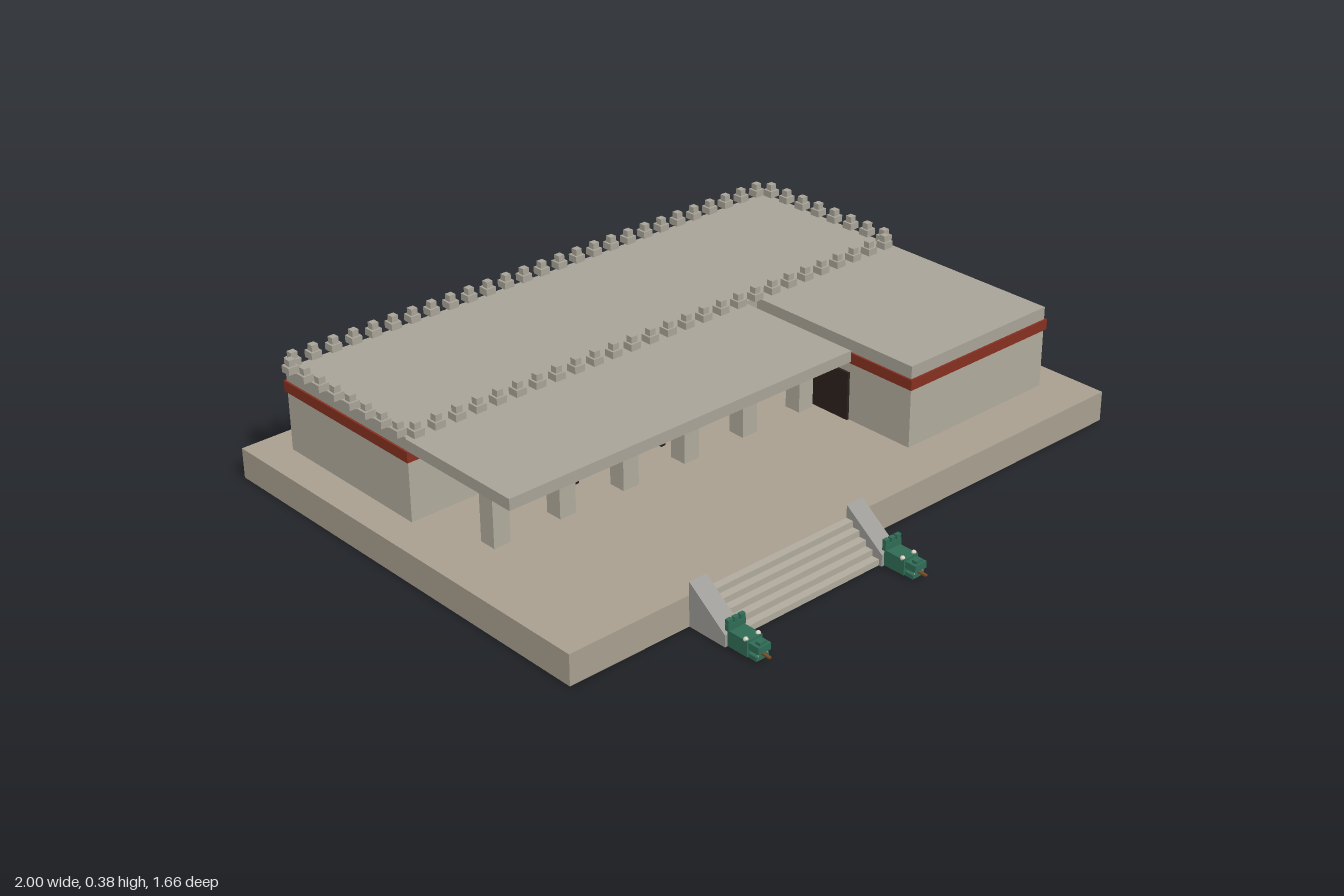
import * as THREE from 'three';

const mat = (color, extra = {}) => new THREE.MeshStandardMaterial({ color, ...extra });
const base = mat(0xa89f8f, { side: THREE.DoubleSide });
const stone = mat(0xb0aa9c);
const trim = mat(0xa8a397);
const rail = mat(0x9a9994);
const red = mat(0x85301f);
const green = mat(0x2f6b55);
const dark = mat(0x2a211a);
const brown = mat(0x7a4a25);
const bone = mat(0xd8d2c0);

function add(parent, name, geometry, material, x = 0, y = 0, z = 0) {
  const mesh = new THREE.Mesh(geometry, material);
  mesh.name = name;
  mesh.position.set(x, y, z);
  parent.add(mesh);
  return mesh;
}

// Box given by its min and max on each axis
function block(parent, name, material, [x0, x1], [y0, y1], [z0, z1]) {
  return add(parent, name, new THREE.BoxGeometry(x1 - x0, y1 - y0, z1 - z0), material,
    (x0 + x1) / 2, (y0 + y1) / 2, (z0 + z1) / 2);
}

// Walls, painted band and parapet of one building volume
function building(parent, name, x, z) {
  const g = new THREE.Group();
  g.name = name;
  const grow = ([a, b], d) => [a - d, b + d];
  block(g, 'walls', stone, x, [0.092, 0.272], z);
  block(g, 'paintedBand', red, grow(x, 0.006), [0.272, 0.304], grow(z, 0.006));
  block(g, 'parapet', trim, x, [0.304, 0.342], z);
  parent.add(g);
}

function merlon(parent, x, z) {
  const g = new THREE.Group();
  g.name = 'merlon';
  block(g, 'merlonBase', trim, [-0.017, 0.017], [0.342, 0.363], [-0.017, 0.017]);
  block(g, 'merlonCap', trim, [-0.0105, 0.0105], [0.363, 0.382], [-0.0105, 0.0105]);
  g.position.set(x, 0, z);
  parent.add(g);
}

// Serpent head at the foot of a balustrade
function serpentHead(parent, x) {
  const g = new THREE.Group();
  g.name = 'serpentHead';
  block(g, 'skull', green, [-0.026, 0.026], [0.006, 0.052], [0.705, 0.775]);
  block(g, 'upperJaw', green, [-0.021, 0.021], [0.026, 0.046], [0.775, 0.81]);
  block(g, 'lowerJaw', green, [-0.021, 0.021], [0.004, 0.016], [0.775, 0.803]);
  block(g, 'nose', green, [-0.012, 0.012], [0.046, 0.054], [0.79, 0.805]);
  block(g, 'crest', green, [-0.03, 0.03], [0.052, 0.07], [0.701, 0.713]);
  for (const i of [-1, 0, 1]) {
    block(g, 'crestFeather', green, [i * 0.021 - 0.008, i * 0.021 + 0.008], [0.07, 0.083], [0.7, 0.712]);
  }
  for (const s of [-1, 1]) {
    add(g, 'eye', new THREE.SphereGeometry(0.007, 10, 8), bone, s * 0.021, 0.052, 0.765);
    add(g, 'fang', new THREE.ConeGeometry(0.004, 0.012, 6).rotateX(Math.PI), bone, s * 0.015, 0.02, 0.803);
  }
  block(g, 'tongue', brown, [-0.004, 0.004], [0.017, 0.022], [0.775, 0.83]);
  g.position.x = x;
  parent.add(g);
}

export function createModel() {
  const model = new THREE.Group();
  model.name = 'palace';

  // Platform: a hollow shell, open underneath
  block(model, 'platformTop', base, [-1, 1], [0.086, 0.092], [-0.83, 0.57]);
  for (const s of [-1, 1]) {
    block(model, 'platformSide', base, [s - 0.003 - s * 0.003, s + 0.003 - s * 0.003], [0, 0.086], [-0.83, 0.57]);
  }
  block(model, 'platformBack', base, [-0.994, 0.994], [0, 0.086], [-0.83, -0.824]);
  block(model, 'platformFront', base, [-0.994, 0.994], [0, 0.086], [0.564, 0.57]);

  // Main hall and side wing
  building(model, 'mainHall', [-0.9, 0.9], [-0.73, -0.185]);
  building(model, 'sideWing', [0.345, 0.9], [-0.185, 0.42]);

  // Merlons around the main hall roof
  for (let i = 0; i < 27; i++) {
    const x = -0.872 + i * (1.744 / 26);
    merlon(model, x, -0.735);
    merlon(model, x, -0.182);
  }
  for (let i = 0; i < 8; i++) {
    const z = -0.7 + i * 0.0695;
    merlon(model, -0.903, z);
    merlon(model, 0.903, z);
  }

  // Portico
  block(model, 'porticoRoof', trim, [-0.905, 0.295], [0.308, 0.342], [-0.185, 0.24]);
  for (let i = 0; i < 6; i++) {
    const x = -0.8 + i * 0.2195;
    block(model, 'column', stone, [x - 0.027, x + 0.027], [0.092, 0.31], [0.013, 0.067]);
  }

  // Arched main doorway
  const arch = new THREE.Shape();
  arch.moveTo(-0.07, 0).lineTo(0.07, 0).lineTo(0.07, 0.1);
  arch.absarc(0, 0.1, 0.07, 0, Math.PI, false);
  arch.closePath();
  add(model, 'mainDoorway', new THREE.ExtrudeGeometry(arch, { depth: 0.012, bevelEnabled: false, curveSegments: 16 }),
    dark, -0.297, 0.091, -0.19);

  // Doorway in the wing, opening onto the portico
  block(model, 'wingDoorway', dark, [0.337, 0.348], [0.091, 0.24], [0.05, 0.19]);

  // Pair of upright drums beside the doorway
  for (const x of [-0.455, -0.142]) {
    const g = new THREE.Group();
    g.name = 'drum';
    const body = add(g, 'drumBody', new THREE.SphereGeometry(1, 20, 14), brown, 0, 0.178, 0);
    body.scale.set(0.021, 0.054, 0.054);
    block(g, 'drumAxle', brown, [-0.045, 0.045], [0.16, 0.198], [-0.018, 0.018]);
    block(g, 'drumFoot', dark, [-0.008, 0.008], [0.092, 0.13], [-0.012, 0.012]);
    g.position.set(x, 0, -0.06);
    model.add(g);
  }

  // Staircase
  for (let i = 0; i < 5; i++) {
    block(model, 'step', stone, [-0.555, -0.053], [i * 0.0184, (i + 1) * 0.0184], [0.57, 0.69 - i * 0.024]);
  }

  // Sloping balustrades with serpent heads
  const slope = new THREE.Shape();
  slope.moveTo(-0.57, 0).lineTo(-0.57, 0.131).lineTo(-0.7, 0.035).lineTo(-0.7, 0).closePath();
  for (const x of [-0.583, -0.025]) {
    const geometry = new THREE.ExtrudeGeometry(slope, { depth: 0.058, bevelEnabled: false });
    geometry.translate(0, 0, -0.029).rotateY(Math.PI / 2);
    add(model, 'balustrade', geometry, rail, x);
    serpentHead(model, x);
  }
  return model;
}
